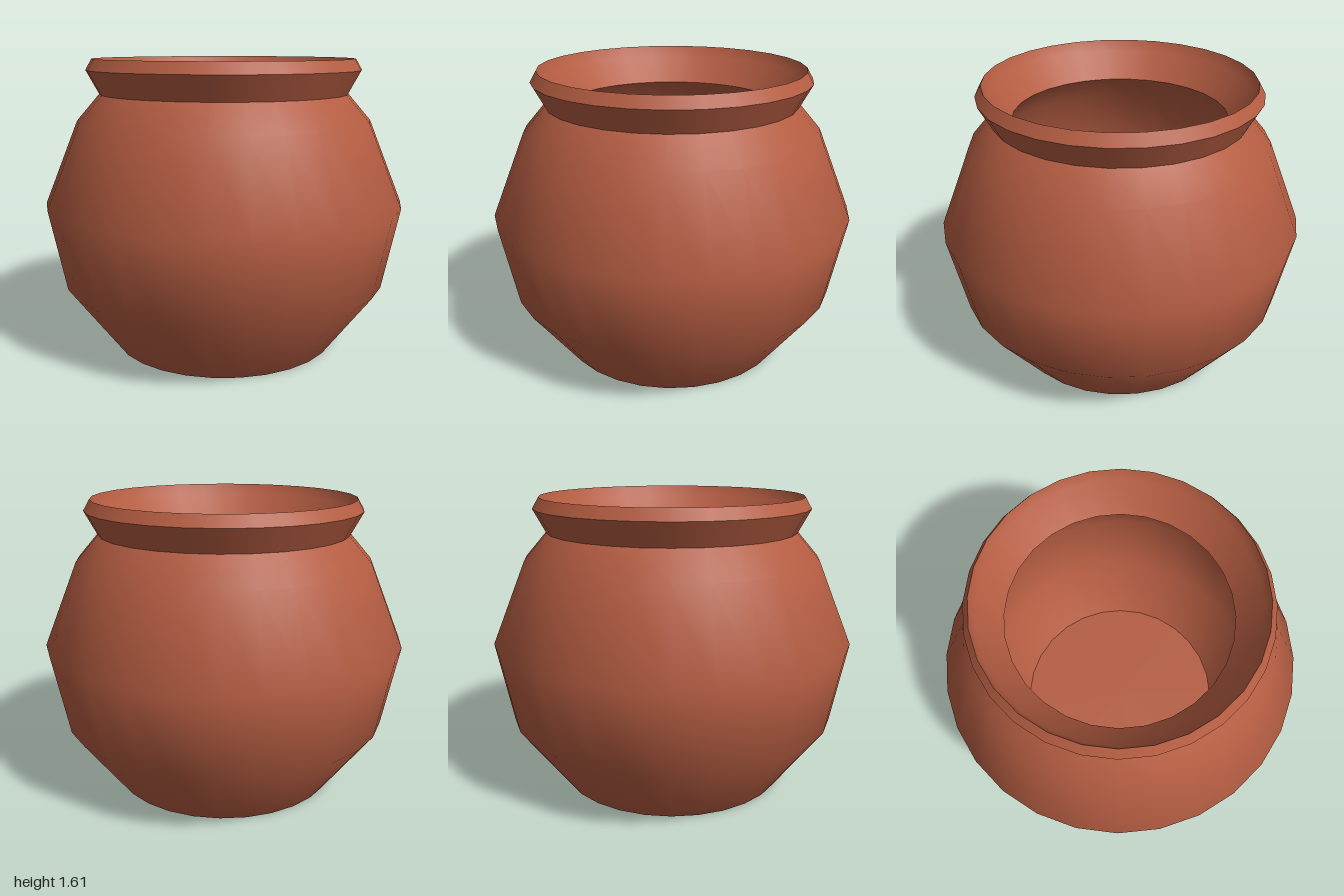
import * as THREE from 'three';

const SIDES = 28;

export function createModel() {
  const pot = new THREE.Group();
  pot.name = 'clayPot';

  const terracotta = new THREE.MeshStandardMaterial({ color: 0xb55d42 });
  terracotta.name = 'terracotta';

  // Each section is smooth in itself; its ends meet the next one at a sharp edge.
  // Profiles run [radius, height]: upward for outer faces, downward for inner ones.
  const addSection = (name, profile) => {
    const points = profile.map(([r, y]) => new THREE.Vector2(r, y));
    const mesh = new THREE.Mesh(new THREE.LatheGeometry(points, SIDES), terracotta);
    mesh.name = name;
    pot.add(mesh);
  };

  // Outside
  addSection('base', [[0, 0], [0.635, 0]]);
  addSection('body', [[0.635, 0], [0.91, 0.37], [1, 0.82], [0.815, 1.275], [0.69, 1.42]]);
  addSection('flaredNeck', [[0.69, 1.42], [0.76, 1.55]]);
  addSection('rimBevel', [[0.76, 1.55], [0.725, 1.61]]);

  // Inside
  addSection('mouth', [[0.725, 1.61], [0.7, 1.55], [0.58, 1.41]]);
  addSection('innerWall', [[0.58, 1.41], [0.72, 1.25], [0.89, 0.82], [0.81, 0.4], [0.6, 0.1]]);
  addSection('innerFloor', [[0.6, 0.1], [0, 0.1]]);

  return pot;
}
